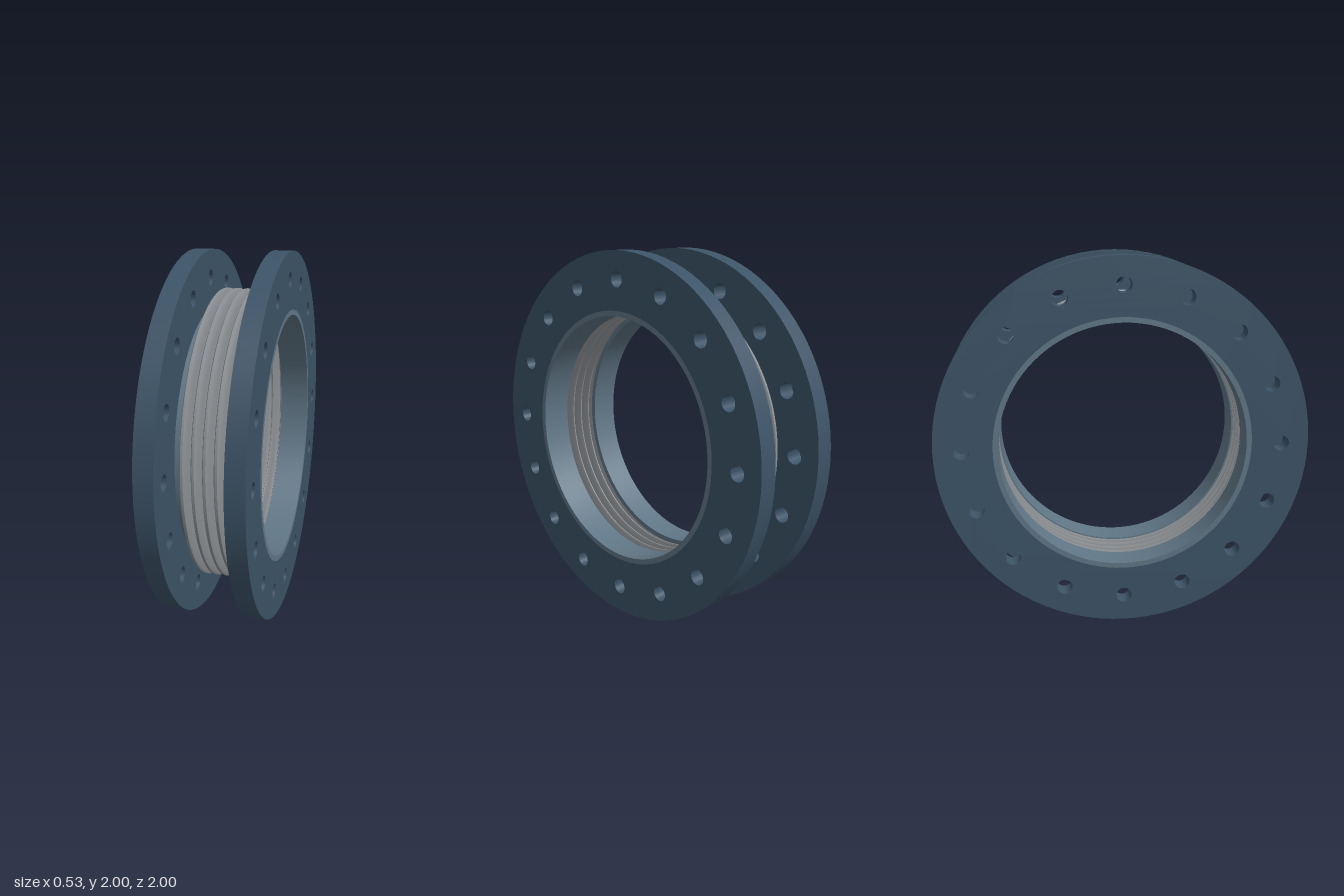
import * as THREE from 'three';
import { toCreasedNormals } from 'three/addons/utils/BufferGeometryUtils.js';

const SEGMENTS = 96;
const flangeMat = new THREE.MeshStandardMaterial({ color: 0x3c5367 });
const collarMat = new THREE.MeshStandardMaterial({ color: 0x607686 });
const bellowsMat = new THREE.MeshStandardMaterial({ color: 0x8c9094, side: THREE.DoubleSide });

// Revolve [radius, x] points around the x axis
function revolve(points, crease) {
  const geo = new THREE.LatheGeometry(points.map(([r, x]) => new THREE.Vector2(r, x)), SEGMENTS);
  geo.rotateZ(-Math.PI / 2);
  return toCreasedNormals(geo, crease);
}

function addPart(group, name, geometry, material) {
  const mesh = new THREE.Mesh(geometry, material);
  mesh.name = name;
  group.add(mesh);
  return mesh;
}

// Drilled ring with 16 bolt holes, starting at x0
function flangeGeometry(x0, thickness) {
  const shape = new THREE.Shape().absarc(0, 0, 1, 0, Math.PI * 2, false);
  shape.holes.push(new THREE.Path().absarc(0, 0, 0.69, 0, Math.PI * 2, true));
  for (let i = 0; i < 16; i++) {
    const a = (i / 16) * Math.PI * 2;
    shape.holes.push(new THREE.Path().absarc(0.853 * Math.cos(a), 0.853 * Math.sin(a), 0.042, 0, Math.PI * 2, true));
  }
  const geo = new THREE.ExtrudeGeometry(shape, { depth: thickness, bevelEnabled: false, curveSegments: 48 });
  geo.rotateY(Math.PI / 2).translate(x0, 0, 0);
  return toCreasedNormals(geo, 0.5);
}

// Pipe stub between two x positions
function collarGeometry(x0, x1) {
  const inner = 0.662, outer = 0.69;
  return revolve([[inner, x0], [outer, x0], [outer, x1], [inner, x1], [inner, x0]], 0.5);
}

// Four thin convolutions with rounded crests and roots
function bellowsGeometry() {
  const pitch = 0.0565, first = -0.098;
  const points = [[0.67, -0.135]];
  for (let i = 0; i < 4; i++) {
    const c = first + i * pitch;
    points.push(
      [0.67, c - 0.025], [0.682, c - 0.021], [0.74, c - 0.0165], [0.785, c - 0.012], [0.795, c - 0.006],
      [0.795, c + 0.006], [0.785, c + 0.012], [0.74, c + 0.0165], [0.682, c + 0.021], [0.67, c + 0.025]
    );
  }
  points.push([0.67, 0.12]);
  return revolve(points, 0.9);
}

export function createModel() {
  const model = new THREE.Group();
  model.name = 'expansionJoint';
  const joint = new THREE.Group();
  joint.name = 'joint';
  joint.position.y = 1;
  model.add(joint);

  addPart(joint, 'leftFlange', flangeGeometry(0.165, 0.1), flangeMat);
  addPart(joint, 'rightFlange', flangeGeometry(-0.265, 0.1), flangeMat);
  addPart(joint, 'leftCollar', collarGeometry(0.1, 0.265), collarMat);
  addPart(joint, 'rightCollar', collarGeometry(-0.265, -0.113), collarMat);
  addPart(joint, 'bellows', bellowsGeometry(), bellowsMat);
  return model;
}
